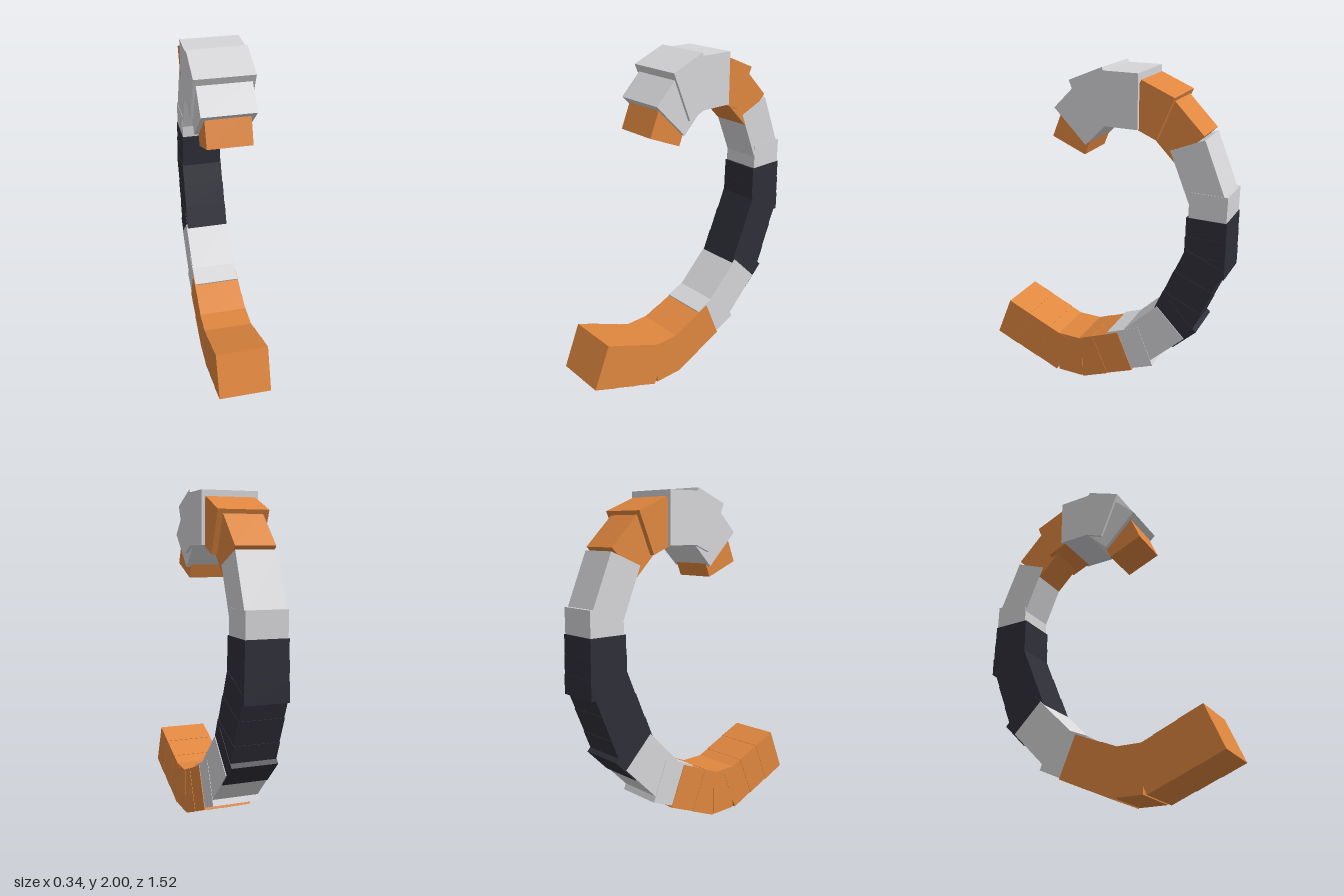
import * as THREE from 'three';

const orange = new THREE.MeshStandardMaterial({ name: 'orange', color: 0xe0873f });
const paleGrey = new THREE.MeshStandardMaterial({ name: 'paleGrey', color: 0xd6d6d9 });
const charcoal = new THREE.MeshStandardMaterial({ name: 'charcoal', color: 0x2e2e38 });

// Each segment: name, colour, centre line start and end as [z, y], thickness, width,
// number of stepped blocks, and the size lost at each step
const SEGMENTS = [
  ['baseEnd', orange, [0.71, 0.307], [0.271, 0.125], 0.275, 0.31, 3, 0.004],
  ['baseFlat', orange, [0.30, 0.143], [0.13, 0.143], 0.274, 0.3, 1, 0],
  ['baseRise', orange, [0.175, 0.125], [-0.167, 0.267], 0.267, 0.296, 2, 0.004],
  ['lowerBandRise', paleGrey, [-0.095, 0.25], [-0.302, 0.335], 0.262, 0.284, 1, 0],
  ['lowerBand', paleGrey, [-0.207, 0.292], [-0.457, 0.542], 0.248, 0.28, 1, 0],
  ['darkLower', charcoal, [-0.39, 0.47], [-0.525, 0.605], 0.255, 0.272, 1, 0],
  ['darkMiddle', charcoal, [-0.46, 0.544], [-0.64, 0.978], 0.254, 0.268, 3, 0.005],
  ['darkUpper', charcoal, [-0.637, 0.88], [-0.637, 1.213], 0.24, 0.254, 3, 0.004],
  ['upperBand', paleGrey, [-0.64, 1.18], [-0.64, 1.36], 0.216, 0.238, 1, 0],
  ['upperBandLean', paleGrey, [-0.646, 1.284], [-0.508, 1.617], 0.208, 0.234, 1, 0],
  ['neckLower', orange, [-0.517, 1.595], [-0.34, 1.772], 0.23, 0.23, 1, 0],
  ['neckUpper', orange, [-0.39, 1.75], [-0.2, 1.829], 0.255, 0.295, 1, 0],
  ['crownBack', paleGrey, [-0.24, 1.832], [-0.03, 1.832], 0.3, 0.335, 1, 0],
  ['crownFront', paleGrey, [-0.087, 1.861], [0.115, 1.778], 0.3, 0.335, 1, 0],
  ['browBlock', paleGrey, [0.05, 1.785], [0.18, 1.655], 0.275, 0.302, 1, 0],
  ['tipBlock', orange, [0.13, 1.713], [0.203, 1.537], 0.222, 0.252, 1, 0],
];

// A run of blocks along a line in the side plane
function makeSegment([name, material, a, b, thickness, width, steps, loss]) {
  const group = new THREE.Group();
  group.name = name;
  const dz = b[0] - a[0], dy = b[1] - a[1];
  const length = Math.hypot(dz, dy) / steps;
  for (let i = 0; i < steps; i++) {
    const t = (i + 0.5) / steps;
    const block = new THREE.Mesh(
      new THREE.BoxGeometry(width - i * loss, length, thickness - i * loss), material);
    block.name = name + 'Block';
    block.position.set(0, a[1] + dy * t, a[0] + dz * t);
    block.rotation.x = Math.atan2(dz, dy);
    group.add(block);
  }
  return group;
}

export function createModel() {
  const model = new THREE.Group();
  model.name = 'curledTail';
  for (const segment of SEGMENTS) model.add(makeSegment(segment));
  return model;
}
